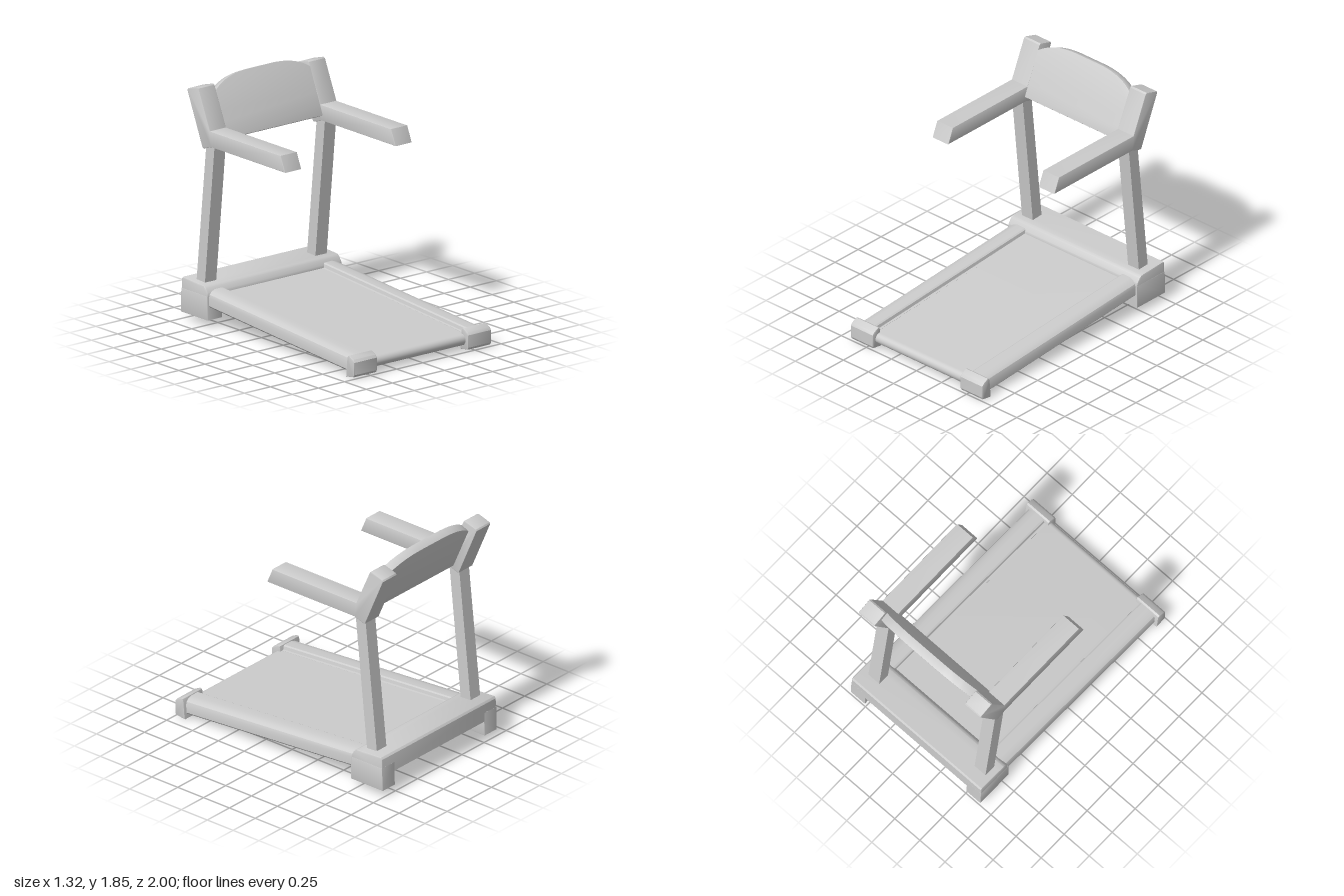
import * as THREE from 'three';
import { toCreasedNormals } from 'three/addons/utils/BufferGeometryUtils.js';

const material = new THREE.MeshStandardMaterial({ color: 0xcccccc });
const SLOPE = 0.074; // rise of the deck per unit toward the back

function addMesh(parent, name, geometry) {
  const mesh = new THREE.Mesh(toCreasedNormals(geometry, 0.5), material);
  mesh.name = name;
  parent.add(mesh);
  return mesh;
}

function extrude(shape, depth, bevel) {
  const geometry = new THREE.ExtrudeGeometry(shape, {
    depth: depth - 2 * bevel,
    bevelEnabled: bevel > 0,
    bevelThickness: bevel,
    bevelSize: bevel,
    bevelOffset: -bevel,
    bevelSegments: 2,
    curveSegments: 24,
  });
  return geometry.translate(0, 0, bevel);
}

// Side profile given as [z, y] points, extruded from x0 to x1
function sideProfile(points, x0, x1, bevel = 0) {
  const shape = new THREE.Shape(points.map(([z, y]) => new THREE.Vector2(-z, y)));
  return extrude(shape, x1 - x0, bevel).rotateY(Math.PI / 2).translate(x0, 0, 0);
}

// Raised profile of the walking belt, rounded at the front roller
function beltProfile() {
  const points = [[-0.8, 0.165], [-0.8, 0.252]];
  for (let i = 0; i <= 12; i++) {
    const a = Math.PI / 2 - (i / 12) * Math.PI;
    points.push([0.927 + 0.043 * Math.cos(a), 0.079 + 0.043 * Math.sin(a)]);
  }
  return points;
}

// Side rail: a cross-section run along z, then sheared to the deck slope
function railGeometry() {
  const section = [
    [0.455, 0.0], [0.62, 0.0], [0.63, 0.012], [0.63, 0.075], [0.622, 0.098],
    [0.6, 0.115], [0.56, 0.125], [0.49, 0.125], [0.478, 0.118], [0.472, 0.095], [0.455, 0.092],
  ];
  const shape = new THREE.Shape(section.map(([x, y]) => new THREE.Vector2(x, y)));
  const geometry = extrude(shape, 1.7, 0).translate(0, 0, -0.77);
  const p = geometry.attributes.position;
  for (let i = 0; i < p.count; i++) {
    p.setY(i, p.getY(i) + 0.032 + SLOPE * (0.92 - p.getZ(i)));
  }
  geometry.computeVertexNormals();
  return geometry;
}

// Domed display panel, drawn upright and then leaned back
function consoleGeometry() {
  const shape = new THREE.Shape();
  shape.moveTo(-0.587, 0);
  shape.lineTo(0.587, 0);
  shape.lineTo(0.587, 0.09);
  shape.bezierCurveTo(0.575, 0.3, 0.45, 0.462, 0.12, 0.466);
  shape.lineTo(-0.12, 0.466);
  shape.bezierCurveTo(-0.45, 0.462, -0.575, 0.3, -0.587, 0.09);
  return extrude(shape, 0.07, 0.003)
    .translate(0, 0, -0.07)
    .rotateX(-0.41)
    .translate(0, 1.424, -0.675);
}

// Mirrored copy with the winding reversed so that faces still point outward
function mirrored(geometry) {
  const copy = geometry.index ? geometry.toNonIndexed() : geometry.clone();
  const p = copy.attributes.position;
  const a = new THREE.Vector3(), b = new THREE.Vector3();
  copy.scale(-1, 1, 1);
  for (let i = 0; i < p.count; i += 3) {
    a.fromBufferAttribute(p, i + 1);
    b.fromBufferAttribute(p, i + 2);
    p.setXYZ(i + 1, b.x, b.y, b.z);
    p.setXYZ(i + 2, a.x, a.y, a.z);
  }
  copy.computeVertexNormals();
  return copy;
}

export function createModel() {
  const model = new THREE.Group();
  model.name = 'treadmill';

  // Walking deck
  addMesh(model, 'belt', sideProfile(beltProfile(), -0.475, 0.475));

  // Motor housing: a full-width beam standing on two end legs
  addMesh(model, 'motorHousing', sideProfile([
    [-0.997, 0.17], [-0.994, 0.31], [-0.982, 0.325], [-0.8, 0.315], [-0.745, 0.31],
    [-0.725, 0.298], [-0.7, 0.262], [-0.695, 0.245], [-0.695, 0.17],
  ], -0.645, 0.645, 0.01));

  // Parts repeated on both sides, shaped for +x
  const pairs = {
    Rail: railGeometry(),
    HousingLeg: sideProfile([
      [-1.0, 0.055], [-0.996, 0.24], [-0.695, 0.24], [-0.695, 0.055],
    ], 0.505, 0.646, 0.004),
    RearFoot: sideProfile([
      [0.905, 0.0], [0.99, 0.012], [1.0, 0.03], [1.0, 0.125], [0.985, 0.145],
      [0.94, 0.168], [0.925, 0.162], [0.918, 0.14],
    ], 0.435, 0.658, 0.008),
  };
  for (const [name, geometry] of Object.entries(pairs)) {
    addMesh(model, 'left' + name, geometry);
    addMesh(model, 'right' + name, mirrored(geometry));
  }

  // Uprights and bent handrails
  for (const [side, x] of [['left', 0.522], ['right', -0.536]]) {
    addMesh(model, side + 'Upright', sideProfile([
      [-0.888, 0.29], [-0.772, 1.4], [-0.678, 1.4], [-0.792, 0.29],
    ], x - 0.054, x + 0.054));
    addMesh(model, side + 'Handrail', sideProfile([
      [0.157, 1.38], [0.106, 1.5], [-0.705, 1.5], [-0.836, 1.797], [-0.85, 1.805],
      [-0.958, 1.772], [-0.965, 1.76], [-0.792, 1.357], [-0.78, 1.35], [-0.69, 1.38],
    ], x - 0.079, x + 0.079, 0.006));
  }

  // Display panel between the handrails
  addMesh(model, 'consolePanel', consoleGeometry());

  return model;
}
